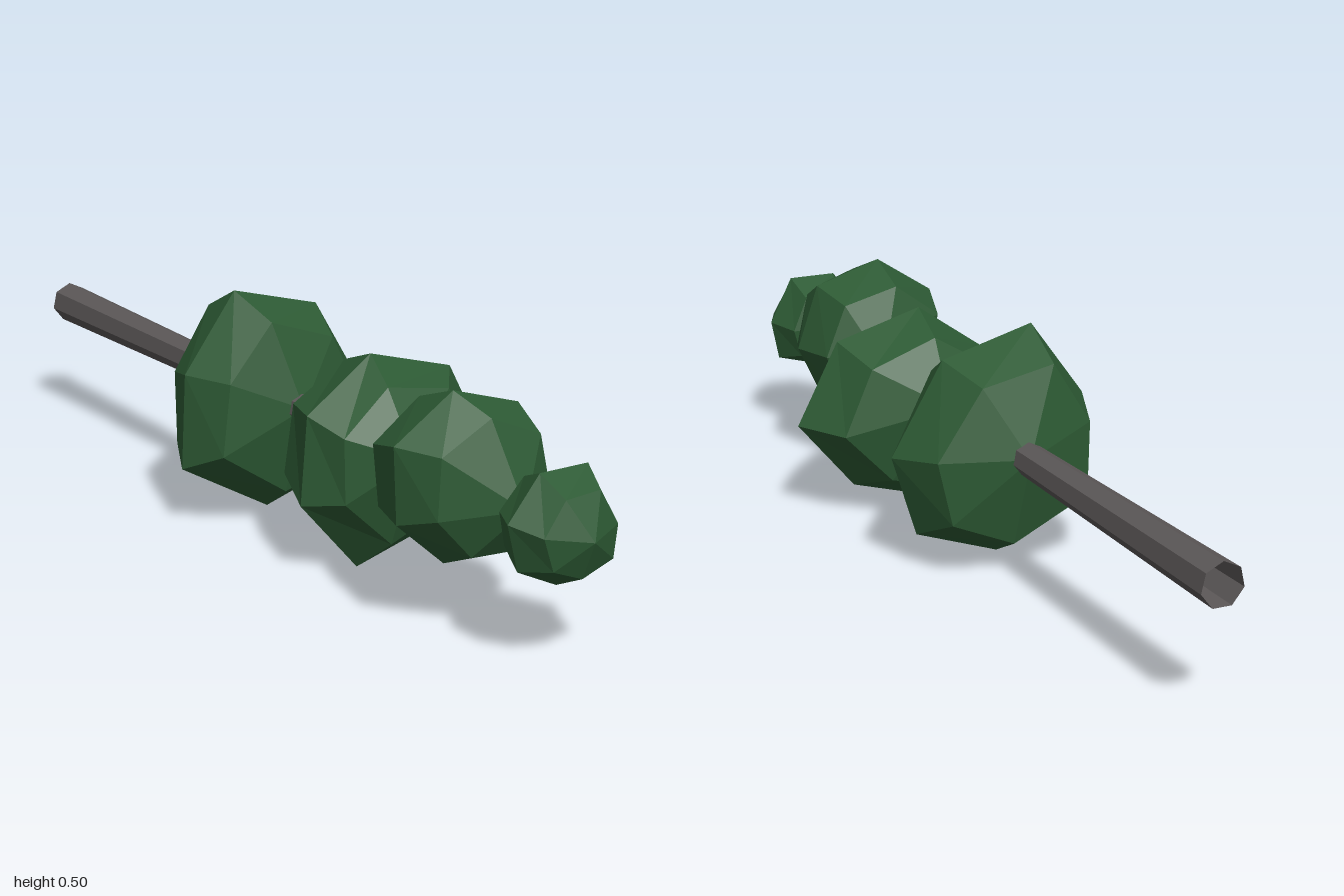
import * as THREE from 'three';

const AXIS_X = -0.035, AXIS_Y = 0.263;

// Foliage clumps along the trunk: z of the five layers (front pole to back pole),
// uneven seven-sided outline of the widest layer (clockwise from the front),
// scale and twist (degrees) of the front and back rings.
const clumps = [
  { name: 'tipFoliage', z: [1.0, 0.965, 0.9, 0.83, 0.8], scale: [0.72, 0.72], twist: [4, -4],
    outline: [[-0.085, 0.375], [0.025, 0.375], [0.078, 0.27], [0.06, 0.18], [-0.04, 0.152], [-0.13, 0.195], [-0.155, 0.29]] },
  { name: 'upperFoliage', z: [0.8, 0.73, 0.65, 0.54, 0.48], scale: [0.79, 0.82], twist: [-6, 3],
    outline: [[-0.095, 0.467], [0.058, 0.42], [0.108, 0.275], [0.042, 0.135], [-0.11, 0.128], [-0.22, 0.225], [-0.228, 0.38]] },
  { name: 'middleFoliage', z: [0.45, 0.38, 0.3, 0.19, 0.125], scale: [0.74, 0.78], twist: [6, -4],
    outline: [[-0.04, 0.445], [0.155, 0.39], [0.25, 0.21], [0.12, 0.055], [-0.07, 0.0], [-0.205, 0.155], [-0.19, 0.34]] },
  { name: 'lowerFoliage', z: [0.05, 0.005, -0.09, -0.205, -0.257], scale: [0.76, 0.78], twist: [-4, 4],
    outline: [[-0.118, 0.5], [0.085, 0.445], [0.2, 0.25], [0.145, 0.075], [-0.04, 0.01], [-0.25, 0.13], [-0.24, 0.335]] },
];

// Stack the scaled outlines between two poles as flat facets
function clumpGeometry({ z, outline, scale, twist }) {
  const scales = [0, scale[0], 1, scale[1], 0];
  const turns = [0, twist[0], 0, twist[1], 0];
  const rings = z.map((depth, k) => {
    const a = THREE.MathUtils.degToRad(turns[k]), c = Math.cos(a), s = Math.sin(a);
    return outline.map(([x, y]) => {
      const dx = (x - AXIS_X) * scales[k], dy = (y - AXIS_Y) * scales[k];
      return [AXIS_X + dx * c - dy * s, AXIS_Y + dx * s + dy * c, depth];
    });
  });
  const positions = [];
  for (let k = 0; k < 4; k++) {
    for (let i = 0; i < outline.length; i++) {
      const j = (i + 1) % outline.length;
      const front = rings[k], back = rings[k + 1];
      if (k > 0) positions.push(...front[i], ...front[j], ...back[j]);
      if (k < 3) positions.push(...front[i], ...back[j], ...back[i]);
    }
  }
  const geometry = new THREE.BufferGeometry();
  geometry.setAttribute('position', new THREE.Float32BufferAttribute(positions, 3));
  geometry.computeVertexNormals();
  return geometry;
}

export function createModel() {
  const model = new THREE.Group();
  model.name = 'lyingTree';
  const bark = new THREE.MeshStandardMaterial({ color: 0x5c5858, flatShading: true, side: THREE.DoubleSide });
  const leaves = new THREE.MeshStandardMaterial({ color: 0x2d5a34, flatShading: true });

  // Tapered, open seven-sided trunk, thick end at the back
  const trunk = new THREE.Mesh(new THREE.CylinderGeometry(0.046, 0.02, 1.87, 7, 1, true), bark);
  trunk.name = 'trunk';
  trunk.rotation.x = -Math.PI / 2;
  trunk.position.set(AXIS_X, AXIS_Y, -0.065);
  model.add(trunk);

  // Faceted foliage
  for (const clump of clumps) {
    const mesh = new THREE.Mesh(clumpGeometry(clump), leaves);
    mesh.name = clump.name;
    model.add(mesh);
  }
  return model;
}
